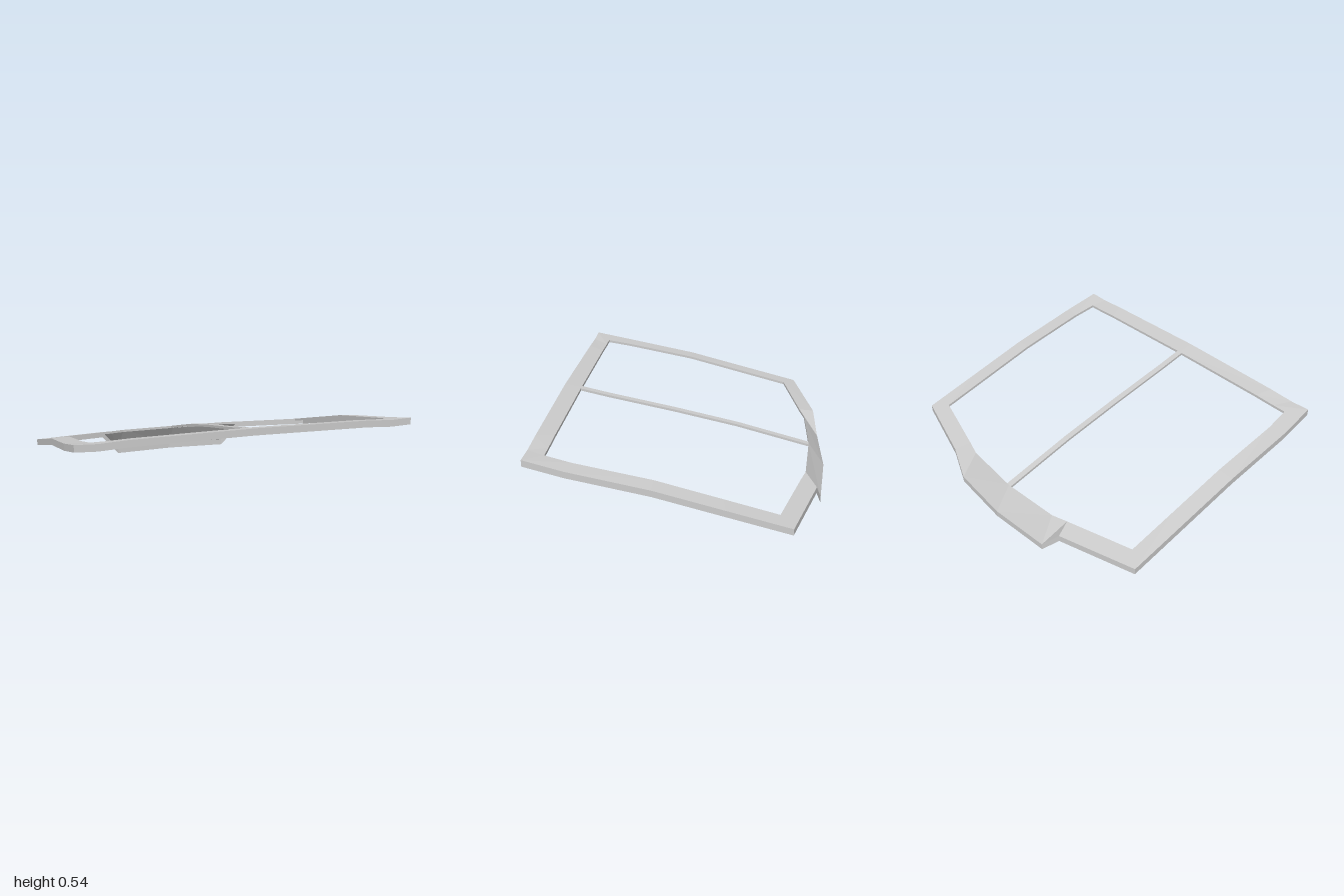
import * as THREE from 'three';

const material = new THREE.MeshStandardMaterial({
  color: 0xcccccc, flatShading: true, side: THREE.DoubleSide,
});

// Left half of the frame, back centre to front centre: outer edge, inner edge
const half = [
  [[0, 0.04, -0.84], [0, 0.193, -0.735]],
  [[0.4, 0.04, -0.81], [0.38, 0.197, -0.71]],
  [[0.52, 0.177, -0.775], [0.48, 0.2, -0.68]],
  [[1, 0.195, -0.64], [0.9, 0.217, -0.565]],
  [[1, 0.287, -0.27], [0.9, 0.297, -0.25]],
  [[1, 0.387, 0.13], [0.9, 0.393, 0.13]],
  [[1, 0.474, 0.6], [0.9, 0.474, 0.58]],
  [[0.985, 0.523, 0.835], [0.885, 0.503, 0.735]],
  [[0.86, 0.518, 0.835], [0.8, 0.504, 0.735]],
  [[0.7, 0.526, 0.835], [0.66, 0.509, 0.735]],
  [[0, 0.535, 0.84], [0, 0.516, 0.735]],
];
const flip = ([x, y, z]) => [-x, y, z];
const drop = ([x, y, z], d) => [x, y - d, z];

// Joins cross-sections (rows of points) into a surface of quads
function loft(rows, closed) {
  const positions = [];
  const count = closed ? rows.length : rows.length - 1;
  for (let i = 0; i < count; i++) {
    const a = rows[i], b = rows[(i + 1) % rows.length];
    for (let j = 0; j < a.length - 1; j++) {
      positions.push(...a[j], ...a[j + 1], ...b[j]);
      positions.push(...a[j + 1], ...b[j + 1], ...b[j]);
    }
  }
  const geometry = new THREE.BufferGeometry();
  geometry.setAttribute('position', new THREE.Float32BufferAttribute(positions, 3));
  geometry.computeVertexNormals();
  return geometry;
}

function addMesh(group, name, geometry) {
  const mesh = new THREE.Mesh(geometry, material);
  mesh.name = name;
  group.add(mesh);
}

export function createModel() {
  const group = new THREE.Group();
  group.name = 'windowFrame';

  // Rim: a channel open below, deep outer skirt and shallow inner skirt,
  // its middle back part folded down into a lip
  const mirrored = half.slice(1, -1).reverse().map((s) => s.map(flip));
  const sections = [...half, ...mirrored].map(([outer, inner]) =>
    [drop(outer, 0.04), outer, inner, drop(inner, 0.016)]);
  addMesh(group, 'rim', loft(sections, true));

  // Centre bar: a slim, slightly arched strip from back to front
  const path = [[0.193, -0.735], [0.313, -0.27], [0.397, 0.13], [0.479, 0.56], [0.516, 0.735]];
  const w = 0.019, t = 0.015;
  const bar = path.map(([y, z]) =>
    [[w, y, z], [-w, y, z], [-w, y - t, z], [w, y - t, z], [w, y, z]].reverse());
  addMesh(group, 'centreBar', loft(bar, false));

  return group;
}
